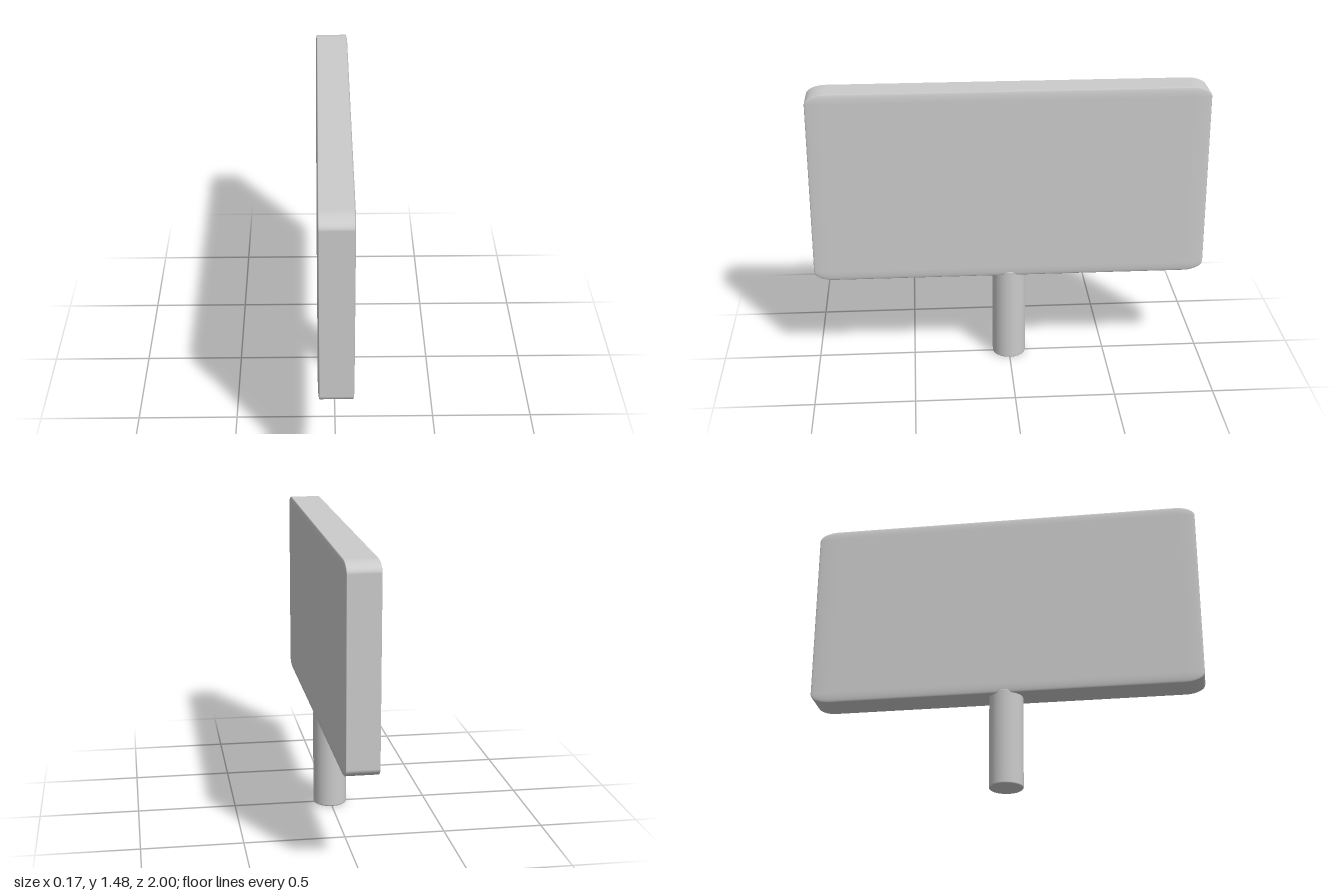
import * as THREE from 'three';
import { RoundedBoxGeometry } from 'three/addons/geometries/RoundedBoxGeometry.js';

export function createModel() {
  const group = new THREE.Group();
  const material = new THREE.MeshStandardMaterial({ color: 0xcccccc });

  // Sign panel: a rounded cube stretched, so its edge rounding stretches with it
  const panelGeometry = new RoundedBoxGeometry(1, 1, 1, 5, 0.05);
  panelGeometry.scale(0.171, 0.995, 2);
  const panel = new THREE.Mesh(panelGeometry, material);
  panel.name = 'signPanel';
  panel.position.y = 0.9775;
  group.add(panel);

  // Round post with softened rims, its top sunk into the panel
  const radius = 0.086, height = 0.5, bevel = 0.007;
  const profile = [new THREE.Vector2(0, 0)];
  const addRim = (y, start) => {
    for (let i = 0; i <= 4; i++) {
      const a = start + (i / 4) * Math.PI / 2;
      profile.push(new THREE.Vector2(radius - bevel + bevel * Math.cos(a), y + bevel * Math.sin(a)));
    }
  };
  addRim(bevel, -Math.PI / 2);
  addRim(height - bevel, 0);
  profile.push(new THREE.Vector2(0, height));
  const post = new THREE.Mesh(new THREE.LatheGeometry(profile, 48), material);
  post.name = 'post';
  group.add(post);

  return group;
}
